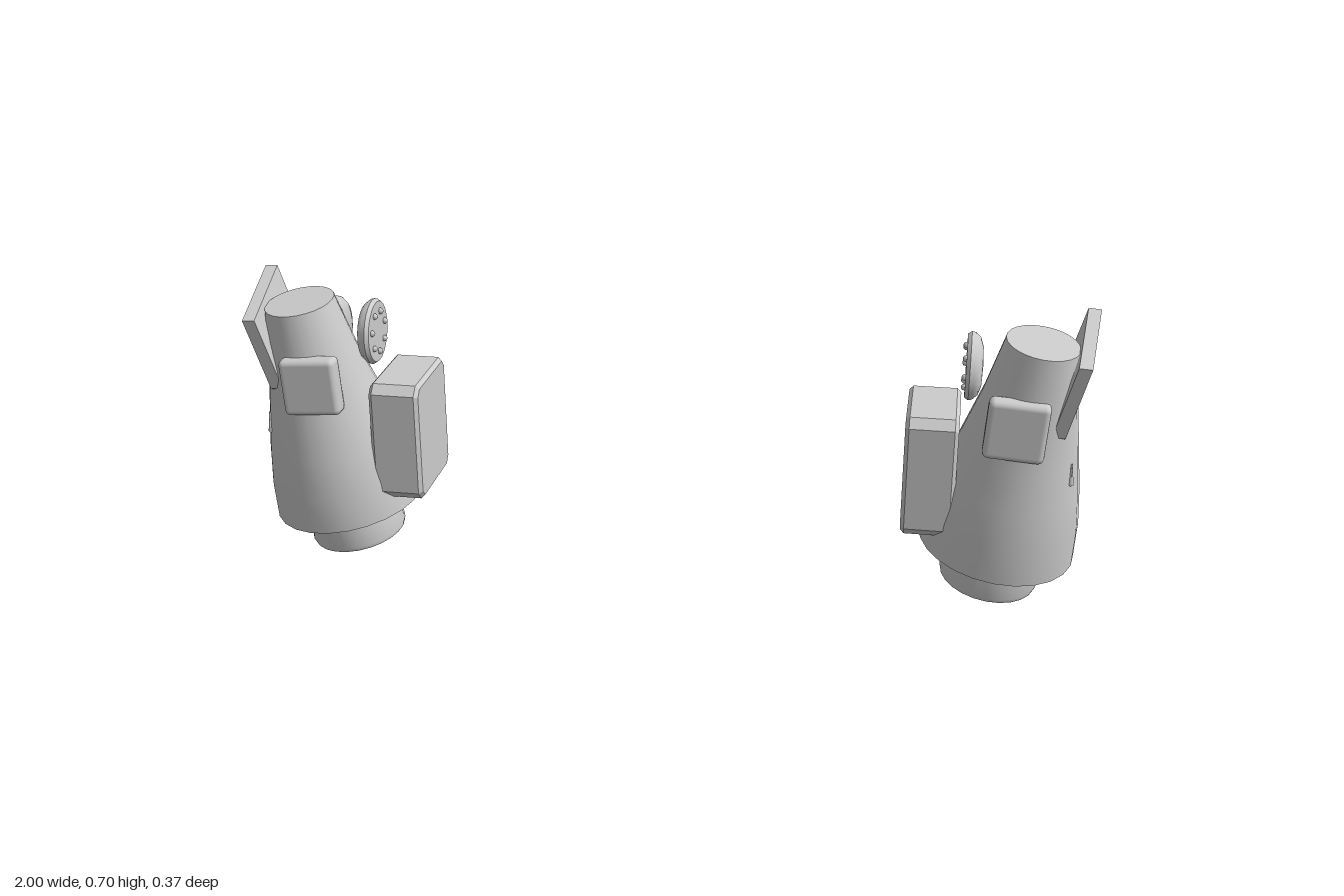
import * as THREE from 'three';
import { toCreasedNormals } from 'three/addons/utils/BufferGeometryUtils.js';
import { RoundedBoxGeometry } from 'three/addons/geometries/RoundedBoxGeometry.js';
import { ConvexGeometry } from 'three/addons/geometries/ConvexGeometry.js';

const grey = new THREE.MeshStandardMaterial({ color: 0xcccccc });
grey.name = 'lightGrey';

function part(name, geometry, parent, x = 0, y = 0, z = 0) {
  const mesh = new THREE.Mesh(geometry, grey);
  mesh.name = name;
  mesh.position.set(x, y, z);
  parent.add(mesh);
  return mesh;
}

// Turned solid from [radius, height] pairs, with sharp rims
function turned(pairs, sides) {
  const points = pairs.map(([r, h]) => new THREE.Vector2(r, h));
  return toCreasedNormals(new THREE.LatheGeometry(points, sides), 0.7);
}

// Block with cut corners in side outline and a small bevel round its broad faces
function chamferedBlock(w, h, d, cut, bevel) {
  const a = d / 2 - bevel, b = h / 2 - bevel;
  const shape = new THREE.Shape();
  shape.moveTo(-a + cut, -b).lineTo(a - cut, -b).lineTo(a, -b + cut).lineTo(a, b - cut);
  shape.lineTo(a - cut, b).lineTo(-a + cut, b).lineTo(-a, b - cut).lineTo(-a, -b + cut);
  shape.closePath();
  const geometry = new THREE.ExtrudeGeometry(shape, {
    depth: w - 2 * bevel, bevelEnabled: true, bevelSegments: 1,
    bevelSize: bevel, bevelThickness: bevel,
  });
  return geometry.center().rotateY(Math.PI / 2);
}

// Round cap, domed on one side and studded on the other; facing is the x sign of the studs
function studdedDisc(name, facing, parent, x, y, z) {
  const disc = new THREE.Group();
  disc.name = name;
  disc.position.set(x, y, z);
  disc.rotation.z = -facing * Math.PI / 2;
  const profile = [[0, -0.025], [0.046, -0.023], [0.067, -0.016], [0.078, -0.004],
    [0.08, 0.005], [0.074, 0.014], [0, 0.014]];
  part('discBody', turned(profile, 24), disc);
  for (let i = 0; i < 7; i++) {
    const a = (i / 7) * Math.PI * 2;
    part('stud', new THREE.SphereGeometry(0.008, 10, 8), disc,
      0.05 * Math.cos(a), 0.015, 0.05 * Math.sin(a));
  }
  parent.add(disc);
}

// side is +1 for the left pod, -1 for the right pod
function createPod(side) {
  const pod = new THREE.Group();
  pod.name = side > 0 ? 'leftPod' : 'rightPod';

  // Tapered shell and nozzle share one axis leaning outwards and forwards
  const core = new THREE.Group();
  core.name = 'core';
  core.position.set(0.8 * side, 0.121, -0.001);
  core.quaternion.setFromUnitVectors(new THREE.Vector3(0, 1, 0),
    new THREE.Vector3(0.07 * side, 0.53, 0.067).normalize());
  pod.add(core);
  part('shell', turned([[0, 0], [0.185, 0], [0.177, 0.09], [0.16, 0.18],
    [0.139, 0.27], [0.108, 0.4], [0.084, 0.538], [0, 0.538]], 24), core);
  part('nozzle', turned([[0, -0.106], [0.104, -0.106], [0.115, -0.1],
    [0.118, -0.09], [0.092, 0.01]], 24), core);

  // Slanted fin, sunk into the outer side of the shell
  const outline = [[1, 0.692, -0.065], [0.975, 0.63, 0.168],
    [0.932, 0.45, 0.135], [0.905, 0.335, -0.11]];
  const corners = outline.flatMap(([x, y, z]) => [
    new THREE.Vector3(x * side, y, z),
    new THREE.Vector3((x - 0.03) * side, y + 0.002, z),
  ]);
  part('fin', toCreasedNormals(new ConvexGeometry(corners), 0.3), pod);

  // Pad on the front of the shell
  const pad = part('frontPad', new RoundedBoxGeometry(0.138, 0.14, 0.05, 2, 0.014),
    pod, 0.822 * side, 0.472, 0.154);
  pad.rotation.z = -0.07 * side;

  // Large block on the side facing the middle
  part('innerBlock', chamferedBlock(0.122, 0.294, 0.242, 0.016, 0.009),
    pod, 0.636 * side, 0.319, 0.002);

  // Two discs with their studded faces turned away from each other
  studdedDisc('innerDisc', -side, pod, 0.717 * side, 0.56, -0.003);
  studdedDisc('shellDisc', side, pod, 0.807 * side, 0.56, -0.008);

  // Slim tapered tab on the outer side
  part('sideTab', new THREE.CylinderGeometry(0.002, 0.007, 0.052, 4),
    pod, 0.954 * side, 0.35, 0.103);
  return pod;
}

export function createModel() {
  const model = new THREE.Group();
  model.name = 'pairedPods';
  model.add(createPod(1), createPod(-1));
  return model;
}
